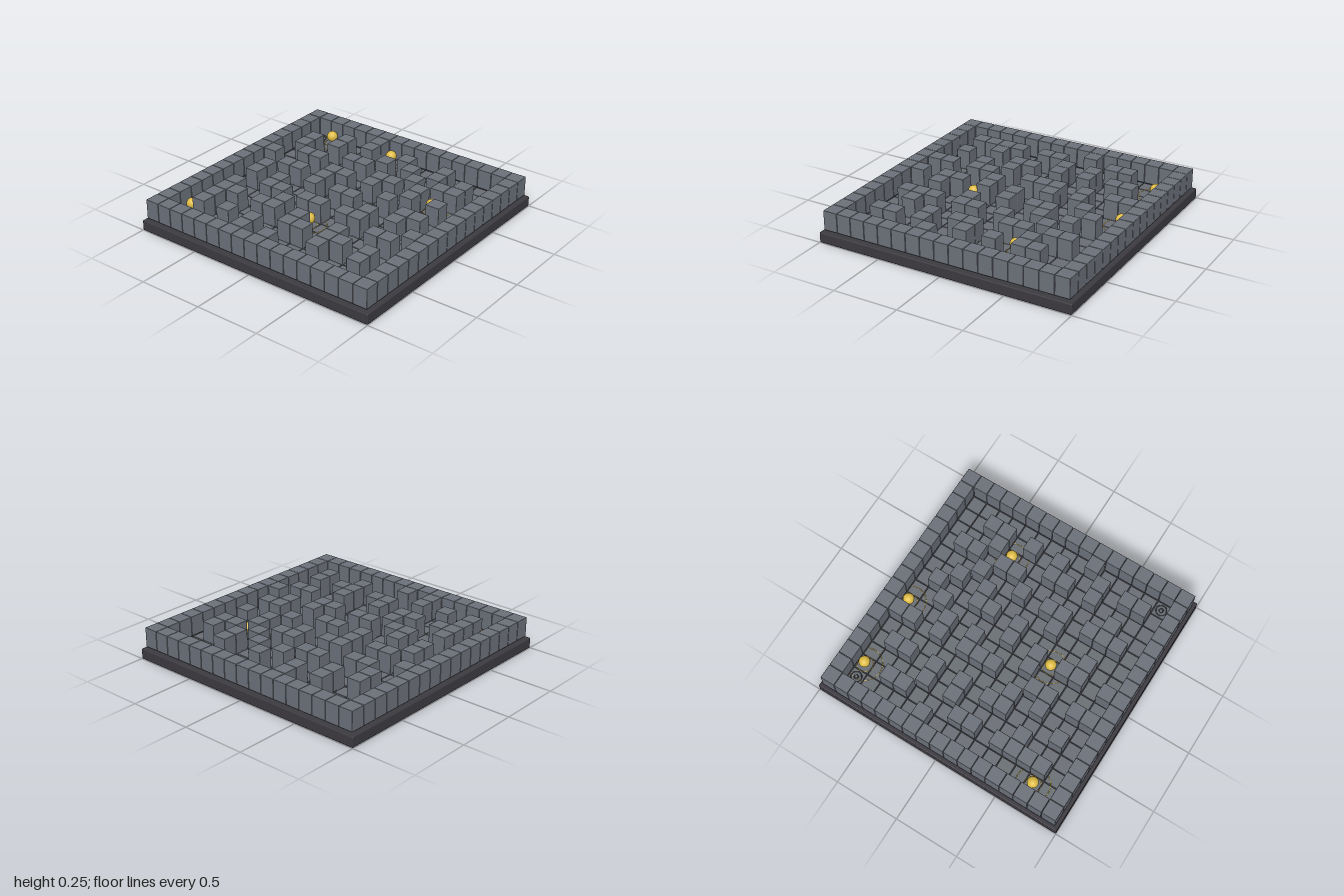
import * as THREE from 'three';
import { RoundedBoxGeometry } from 'three/addons/geometries/RoundedBoxGeometry.js';

const PITCH = 0.1147;
const FLOOR_Y = 0.095;

// Interior layout: # is a wall block, . is open floor
const LAYOUT = [
  '.....#.........',
  '...#.#..#..#...',
  '.#.#...#.#.#.#.',
  '.#...##...#.##.',
  '..##....##.#...',
  '#....##.#..#.#.',
  '..##.#....#....',
  '.#...#.##...##.',
  '.#.#......#.#..',
  '...##.##.##...#',
  '.#...#......##.',
  '.##.##.#..#....',
  '.#.....##.##.#.',
  '.#.#.#....#..#.',
  '.....#.#.......',
];
const ORBS = [[2, 1], [7, 1], [13, 5], [8, 11], [1, 14]];
const MARKERS = [[1, 1], [15, 15]];

function material(name, color) {
  const m = new THREE.MeshStandardMaterial({ color });
  m.name = name;
  return m;
}

export function createModel() {
  const model = new THREE.Group();
  model.name = 'mazeBoard';

  const baseMat = material('dark base', 0x3c3a40);
  const wallMat = material('stone wall', 0x6b7079);
  const floorMat = material('stone floor', 0x696e74);
  const goldMat = material('gold', 0xe0bd45);
  const markerMat = material('marker grey', 0x45484e);

  const add = (parent, name, geometry, mat, x, y, z) => {
    const mesh = new THREE.Mesh(geometry, mat);
    mesh.name = name;
    mesh.position.set(x, y, z);
    parent.add(mesh);
    return mesh;
  };
  const group = (name) => {
    const g = new THREE.Group();
    g.name = name;
    model.add(g);
    return g;
  };
  const at = (i) => (i - 8) * PITCH;

  // Base slab
  add(model, 'base', new RoundedBoxGeometry(2, 0.08, 2, 2, 0.008), baseMat, 0, 0.04, 0);

  // Floor tiles and wall blocks; the rim stands level with the inner walls
  const floor = group('floor');
  const rim = group('outerWalls');
  const inner = group('innerWalls');
  const tileGeo = new THREE.BoxGeometry(0.107, 0.015, 0.107);
  const blockGeo = new RoundedBoxGeometry(0.112, 0.15, 0.112, 1, 0.003);
  for (let row = 0; row < 17; row++) {
    for (let col = 0; col < 17; col++) {
      const edge = row === 0 || col === 0 || row === 16 || col === 16;
      if (!edge) add(floor, 'floorTile', tileGeo, floorMat, at(col), 0.0875, at(row));
      if (edge || LAYOUT[row - 1][col - 1] === '#') {
        add(edge ? rim : inner, 'wallBlock', blockGeo, wallMat, at(col), 0.17, at(row));
      }
    }
  }

  // Flat rings lying on the floor
  const flatRing = (r, tube) => new THREE.TorusGeometry(r, tube, 6, 40).rotateX(Math.PI / 2);

  // Gold orbs, each with thin rings around its foot
  const orbGeo = new THREE.SphereGeometry(0.042, 20, 14);
  const haloGeo = flatRing(0.125, 0.002);
  const footGeo = flatRing(0.06, 0.002);
  for (const [col, row] of ORBS) {
    const orb = group('orb');
    orb.position.set(at(col), 0, at(row));
    add(orb, 'orbBall', orbGeo, goldMat, 0, 0.15, 0);
    add(orb, 'orbHalo', haloGeo, goldMat, 0, FLOOR_Y, 0);
    add(orb, 'orbFootRing', footGeo, goldMat, 0, FLOOR_Y, 0);
  }

  // Start and finish markers in opposite corners
  const outerRing = flatRing(0.04, 0.004);
  const innerRing = flatRing(0.015, 0.004);
  for (const [col, row] of MARKERS) {
    const marker = group('cornerMarker');
    marker.position.set(at(col), FLOOR_Y + 0.003, at(row));
    add(marker, 'markerOuterRing', outerRing, markerMat, 0, 0, 0);
    add(marker, 'markerInnerRing', innerRing, markerMat, 0, 0, 0);
  }

  return model;
}
